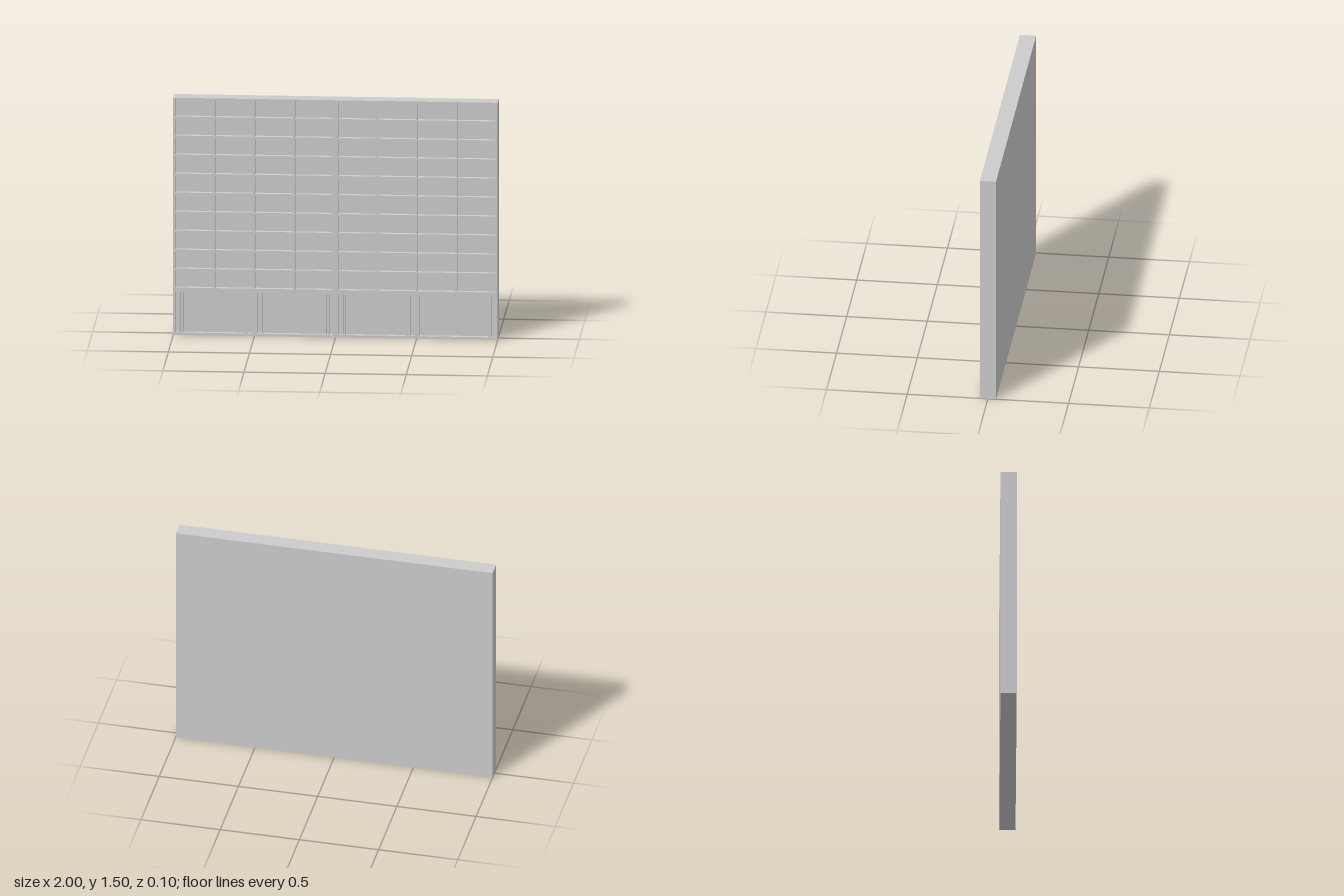
import * as THREE from 'three';

const W = 2, H = 1.5, D = 0.1, RECESS = 0.03;

// Rectangular opening, wound opposite to the outline
function opening(x0, x1, y0, y1) {
  const p = new THREE.Path();
  p.moveTo(x0, y0);
  p.lineTo(x0, y1);
  p.lineTo(x1, y1);
  p.lineTo(x1, y0);
  p.closePath();
  return p;
}

export function createModel() {
  const group = new THREE.Group();
  const material = new THREE.MeshStandardMaterial({ color: 0xcccccc, flatShading: true });

  const outline = new THREE.Shape();
  outline.moveTo(-W / 2, 0);
  outline.lineTo(W / 2, 0);
  outline.lineTo(W / 2, H);
  outline.lineTo(-W / 2, H);
  outline.closePath();

  // Column and bay edges for one half; the other half is mirrored
  const columns = [[0.017, 0.248], [0.261, 0.493], [0.507, 0.739], [0.752, 0.985]];
  const bays = [[0.017, 0.483], [0.518, 0.985]];
  // Slots in a bay, measured from its side: two narrow ones next to thin slats
  const slots = [[0, 0.022], [0.03, 0.037]];

  for (const s of [-1, 1]) {
    const cut = (a, b, y0, y1) =>
      outline.holes.push(opening(Math.min(s * a, s * b), Math.max(s * a, s * b), y0, y1));

    // Upper grid of ten rows
    for (let row = 0; row < 10; row++) {
      const y = 0.3 + row * 0.1202;
      for (const [a, b] of columns) cut(a, b, y, y + 0.109);
    }

    // Wide lower bays with slats at both sides
    for (const [a, b] of bays) {
      for (const [p, q] of slots) {
        cut(a + p, a + q, 0.016, 0.272);
        cut(b - q, b - p, 0.016, 0.272);
      }
      cut(a + 0.045, b - 0.045, 0.016, 0.272);
    }
  }

  // Pierced front frame
  const frame = new THREE.Mesh(
    new THREE.ExtrudeGeometry(outline, { depth: RECESS, bevelEnabled: false }), material);
  frame.name = 'frontFrame';
  frame.position.z = D / 2 - RECESS;
  group.add(frame);

  // Solid back panel that closes the openings
  const back = new THREE.Mesh(new THREE.BoxGeometry(W, H, D - RECESS), material);
  back.name = 'backPanel';
  back.position.set(0, H / 2, -RECESS / 2);
  group.add(back);

  return group;
}
